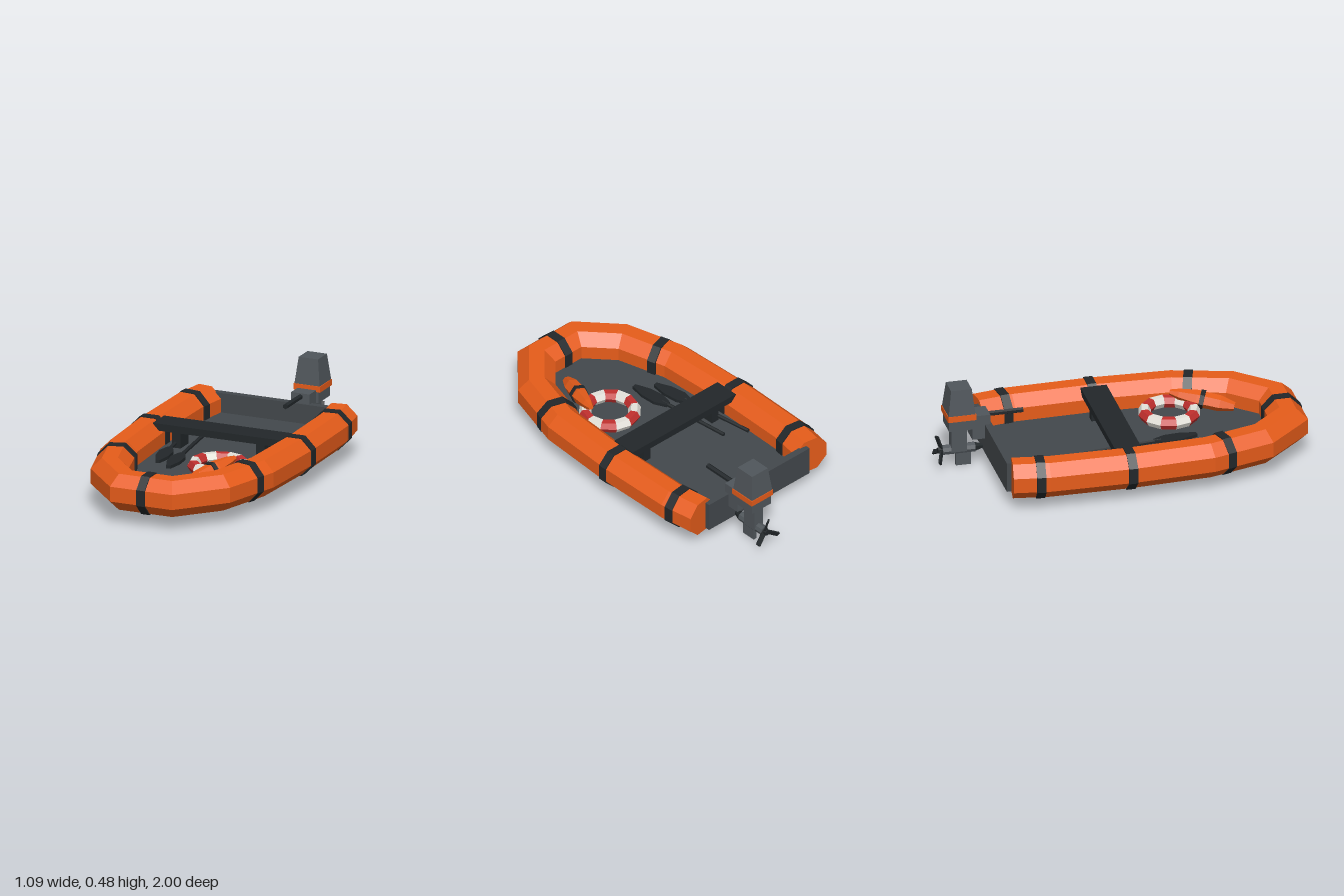
import * as THREE from 'three';

const mat = (color) => new THREE.MeshStandardMaterial({ color, flatShading: true });
const ORANGE = mat(0xe65c1a), DARK = mat(0x22272a), GREY = mat(0x50565b),
  FLOOR = mat(0x43484c), RED = mat(0xc2302e), WHITE = mat(0xe4e2da);

const TUBE_Y = 0.175, APOTHEM = 0.102, OCT = Math.PI / 8;

function add(parent, name, geometry, material, x = 0, y = 0, z = 0) {
  const mesh = new THREE.Mesh(geometry, material);
  mesh.name = name;
  mesh.position.set(x, y, z);
  parent.add(mesh);
  return mesh;
}
const box = (w, h, d) => new THREE.BoxGeometry(w, h, d);

// Box narrowed towards its top
function taperedBox(w, h, d, k) {
  const g = box(w, h, d), p = g.attributes.position;
  for (let i = 0; i < p.count; i++) {
    if (p.getY(i) > 0) p.setXYZ(i, p.getX(i) * k, p.getY(i), p.getZ(i) * k);
  }
  return g;
}

// Centre line of the hull tube as [x, z], left stern round the bow to right stern
const half = [[0.398, -0.713], [0.428, -0.52], [0.435, -0.07], [0.413, 0.375], [0.323, 0.69], [0.14, 0.89]];
const path = [...half, ...half.slice().reverse().map(([x, z]) => [-x, z])];

// Outward mitred normal at every path point
function outward(i) {
  const seg = (a, b) => new THREE.Vector2(b[1] - a[1], a[0] - b[0]).normalize();
  const before = i > 0 ? seg(path[i - 1], path[i]) : seg(path[0], path[1]);
  const after = i < path.length - 1 ? seg(path[i], path[i + 1]) : before;
  const n = before.clone().add(after).normalize();
  return n.divideScalar(n.dot(before));
}

// Octagonal section swept along the path, closed at both sterns
function hullTube() {
  const r = APOTHEM / Math.cos(OCT), pos = [];
  const rings = path.map(([x, z], i) => {
    const n = outward(i);
    return Array.from({ length: 8 }, (_, j) => {
      const a = OCT + j * 2 * OCT, c = r * Math.cos(a);
      return [x + n.x * c, TUBE_Y + r * Math.sin(a), z + n.y * c];
    });
  });
  const tri = (...v) => v.forEach((p) => pos.push(...p));
  for (let i = 0; i < rings.length - 1; i++) {
    for (let j = 0; j < 8; j++) {
      const k = (j + 1) % 8, a = rings[i][j], b = rings[i + 1][j], c = rings[i + 1][k], d = rings[i][k];
      tri(a, d, c);
      tri(a, c, b);
    }
  }
  const first = rings[0], last = rings[rings.length - 1];
  for (let j = 1; j < 7; j++) {
    tri(first[0], first[j + 1], first[j]);
    tri(last[0], last[j], last[j + 1]);
  }
  const g = new THREE.BufferGeometry();
  g.setAttribute('position', new THREE.Float32BufferAttribute(pos, 3));
  g.computeVertexNormals();
  return g;
}

function extrudeFlat(points, depth) {
  const shape = new THREE.Shape(points.map(([x, y]) => new THREE.Vector2(x, y)));
  return new THREE.ExtrudeGeometry(shape, { depth, bevelEnabled: false }).rotateX(Math.PI / 2);
}

function createHull(boat) {
  add(boat, 'hullTube', hullTube(), ORANGE);

  // Straps: x, z and heading of the tube there
  const straps = [[0, 0.89, Math.PI / 2]];
  for (const s of [1, -1]) {
    straps.push([s * 0.383, 0.465, -s * 0.3], [s * 0.435, -0.07, 0], [s * 0.42, -0.565, s * 0.13]);
  }
  const strap = new THREE.CylinderGeometry(0.117, 0.117, 0.05, 8).rotateY(OCT).rotateX(Math.PI / 2);
  for (const [x, z, turn] of straps) add(boat, 'strap', strap, DARK, x, TUBE_Y, z).rotation.y = turn;

  // Floor, transom and bench
  const outline = path.map(([x, z], i) => {
    const n = outward(i);
    return [x - n.x * 0.08, z - n.y * 0.08];
  });
  add(boat, 'floor', extrudeFlat(outline, 0.03), FLOOR, 0, 0.14, 0);
  add(boat, 'transom', box(0.74, 0.17, 0.04), FLOOR, 0, 0.165, -0.715);
  add(boat, 'bench', box(0.76, 0.04, 0.145), DARK, 0, 0.252, -0.063);
  for (const s of [1, -1]) add(boat, 'benchLeg', box(0.05, 0.1, 0.1), DARK, s * 0.25, 0.185, -0.063);
}

function createPaddle(x, z, turn) {
  const paddle = new THREE.Group();
  paddle.name = 'paddle';
  add(paddle, 'paddleShaft', new THREE.CylinderGeometry(0.011, 0.011, 0.44, 6).rotateX(Math.PI / 2), DARK, 0, 0, -0.1);
  const side = [[0.015, 0.08], [0.04, 0.15], [0.036, 0.24], [0.012, 0.325]];
  const blade = [...side, ...side.slice().reverse().map(([a, b]) => [-a, b])];
  add(paddle, 'paddleBlade', extrudeFlat(blade, 0.018), DARK, 0, 0.009, 0);
  paddle.position.set(x, 0.165, z);
  paddle.rotation.y = turn;
  return paddle;
}

function createLifebuoy() {
  const ring = new THREE.Group();
  ring.name = 'lifebuoy';
  const step = Math.PI / 6;
  const piece = new THREE.TorusGeometry(0.137, 0.035, 6, 1, step).rotateX(Math.PI / 2);
  for (let i = 0; i < 12; i++) {
    add(ring, 'lifebuoySegment', piece, i % 2 ? WHITE : RED).rotation.y = i * step;
  }
  ring.position.set(0.145, 0.185, 0.3);
  return ring;
}

function createFloat() {
  const float = new THREE.Group();
  float.name = 'rescueFloat';
  const profile = [[0, -0.18], [0.024, -0.18], [0.044, -0.1], [0.046, 0.03], [0.03, 0.13], [0.014, 0.18], [0, 0.18]];
  const body = new THREE.LatheGeometry(profile.map(([r, y]) => new THREE.Vector2(r, y)), 6);
  add(float, 'floatBody', body, ORANGE);
  add(float, 'floatStrap', new THREE.CylinderGeometry(0.053, 0.053, 0.025, 6), DARK);
  float.position.set(0.193, 0.215, 0.495);
  const axis = new THREE.Vector3(0.13, 0.07, -0.34).normalize();
  float.quaternion.setFromUnitVectors(new THREE.Vector3(0, 1, 0), axis);
  return float;
}

function createMotor() {
  const motor = new THREE.Group();
  motor.name = 'outboardMotor';
  motor.position.x = 0.17;
  const lying = (r1, r2, l, n) => new THREE.CylinderGeometry(r1, r2, l, n).rotateX(Math.PI / 2);
  add(motor, 'cowl', taperedBox(0.15, 0.147, 0.15, 0.77), GREY, 0, 0.403, -0.867);
  add(motor, 'cowlTrim', box(0.157, 0.034, 0.157), ORANGE, 0, 0.313, -0.867);
  add(motor, 'motorBase', box(0.14, 0.06, 0.15), GREY, 0, 0.267, -0.863);
  add(motor, 'mountBracket', box(0.11, 0.14, 0.1), GREY, 0, 0.237, -0.755);
  add(motor, 'tiller', lying(0.015, 0.015, 0.22, 6), DARK, 0, 0.287, -0.62);
  add(motor, 'driveLeg', box(0.06, 0.15, 0.085), GREY, 0, 0.165, -0.872);
  add(motor, 'gearCase', lying(0.028, 0.028, 0.18, 8), GREY, 0, 0.097, -0.87);
  add(motor, 'gearNose', lying(0.028, 0.012, 0.045, 6).rotateY(Math.PI), DARK, 0, 0.097, -0.757);
  add(motor, 'skeg', box(0.02, 0.08, 0.085), GREY, 0, 0.04, -0.843);

  // Three swept, pitched propeller blades
  const prop = new THREE.Group();
  prop.name = 'propeller';
  prop.position.set(0, 0.097, -0.962);
  add(prop, 'propellerHub', lying(0.018, 0.018, 0.045, 6), DARK);
  const blade = box(0.026, 0.085, 0.01).rotateY(0.5).translate(0, 0.048, 0).rotateX(-0.32);
  for (let i = 0; i < 3; i++) add(prop, 'propellerBlade', blade, DARK).rotation.z = (i * 2 * Math.PI) / 3;
  motor.add(prop);
  return motor;
}

export function createModel() {
  const boat = new THREE.Group();
  boat.name = 'inflatableBoat';
  createHull(boat);
  boat.add(createPaddle(-0.257, 0.0, 0.15), createPaddle(-0.15, 0.065, 0.11));
  boat.add(createLifebuoy(), createFloat(), createMotor());
  return boat;
}
